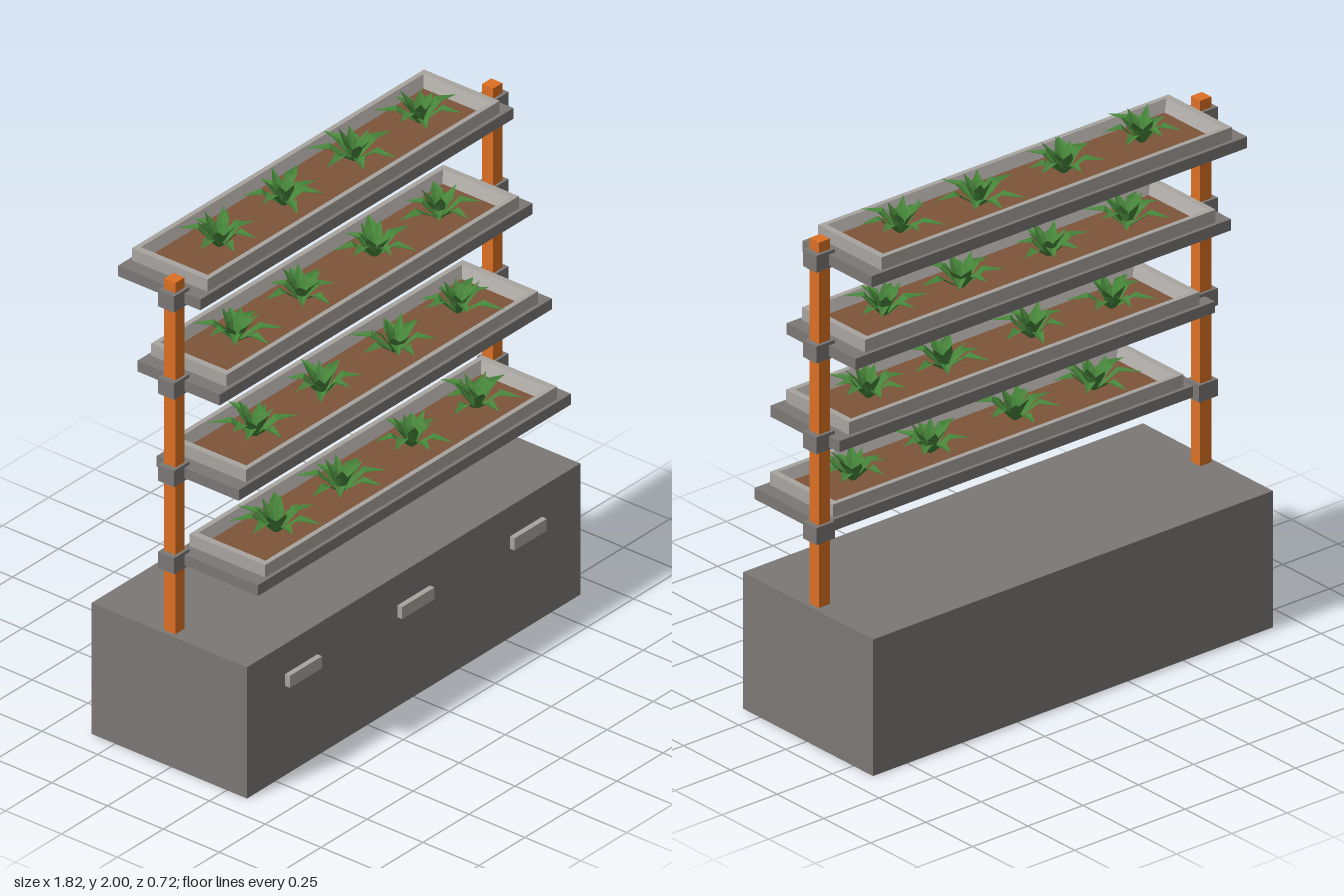
import * as THREE from 'three';

const mat = (color) => new THREE.MeshStandardMaterial({ color, flatShading: true, side: THREE.DoubleSide });
const stone = mat(0x7b7775), paleStone = mat(0xa8a4a0), orange = mat(0xdb7024);
const soilMat = mat(0x7d553a), green = mat(0x47853a);

function add(parent, name, geometry, material, x = 0, y = 0, z = 0) {
  const mesh = new THREE.Mesh(geometry, material);
  mesh.name = name;
  mesh.position.set(x, y, z);
  parent.add(mesh);
  return mesh;
}
const box = (w, h, d) => new THREE.BoxGeometry(w, h, d);

function seeded(seed) {
  return () => {
    seed = (seed * 16807) % 2147483647;
    return seed / 2147483647;
  };
}

function fromPoints(points) {
  const g = new THREE.BufferGeometry().setFromPoints(points);
  g.computeVertexNormals();
  return g;
}

// Rectangular rings [halfWidth, y, halfDepth] joined one after the other
function ringShell(rings) {
  const corners = [[-1, 1], [1, 1], [1, -1], [-1, -1]];
  const at = (i, j) => {
    const [w, y, d] = rings[i], [sx, sz] = corners[j % 4];
    return new THREE.Vector3(sx * w, y, sz * d);
  };
  const pts = [];
  for (let i = 0; i < rings.length - 1; i++) {
    for (let j = 0; j < 4; j++) {
      const a = at(i, j), b = at(i, j + 1), c = at(i + 1, j + 1), d = at(i + 1, j);
      pts.push(a, b, c, a, c, d);
    }
  }
  return fromPoints(pts);
}

// Pointed leaf creased along its middle; stations are [distance out, height, half width]
function leafPoints(angle, stations) {
  const out = new THREE.Vector3(Math.cos(angle), 0, Math.sin(angle));
  const side = new THREE.Vector3(-out.z, 0, out.x);
  const at = ([r, y, w], s) => out.clone().multiplyScalar(r)
    .addScaledVector(side, s * w).setY(y + Math.abs(s) * w * 0.35);
  const pts = [];
  for (let i = 0; i < stations.length - 1; i++) {
    for (const s of [-1, 1]) {
      const a = at(stations[i], 0), b = at(stations[i], s);
      const c = at(stations[i + 1], s), d = at(stations[i + 1], 0);
      if (s > 0) pts.push(a, b, c, a, c, d);
      else pts.push(a, c, b, a, d, c);
    }
  }
  return pts;
}

function plantGeometry(random) {
  const pts = [];
  const start = random() * Math.PI * 2;
  // arching outer leaves
  for (let i = 0; i < 7; i++) {
    const r = 0.115 + random() * 0.06;
    const h = 0.045 + random() * 0.025;
    const a = start + (i + (random() - 0.5) * 0.5) * Math.PI * 2 / 7;
    pts.push(...leafPoints(a, [[0.01, 0, 0.01], [r * 0.5, h, 0.022], [r, h * 0.95, 0]]));
  }
  // upright inner leaves
  for (let i = 0; i < 6; i++) {
    const r = 0.05 + random() * 0.04;
    const h = 0.095 + random() * 0.018;
    const a = start + (i + 0.5 + (random() - 0.5) * 0.4) * Math.PI * 2 / 6;
    pts.push(...leafPoints(a, [[0.006, 0, 0.01], [r * 0.5, h * 0.55, 0.02], [r, h, 0]]));
  }
  return fromPoints(pts);
}

export function createModel() {
  const model = new THREE.Group();
  model.name = 'tieredPlanter';

  // Base cabinet with three handles
  add(model, 'cabinet', box(1.81, 0.525, 0.695), stone, 0, 0.2625, -0.0075);
  for (const x of [-0.61, 0, 0.61]) {
    add(model, 'handle', box(0.175, 0.048, 0.022), paleStone, x, 0.381, 0.35);
  }

  // Side posts
  for (const s of [-1, 1]) {
    add(model, 'post', box(0.05, 1.405, 0.05), orange, s * 0.863, 1.2275, -0.02);
  }

  // Four stepped shelves, each with a trough of plants
  const random = seeded(4711);
  for (let i = 0; i < 4; i++) {
    const shelf = new THREE.Group();
    shelf.name = 'shelf';
    shelf.position.set(0, 0.787 + i * 0.349, 0.16 - i * 0.086);
    model.add(shelf);

    add(shelf, 'shelfBoard', box(1.7, 0.043, 0.368), stone, 0, 0.0215, 0);
    add(shelf, 'trough', ringShell([
      [0.793, 0.043, 0.169], [0.793, 0.092, 0.169],
      [0.768, 0.092, 0.15], [0.742, 0.052, 0.13],
    ]), paleStone);
    add(shelf, 'soil', box(1.484, 0.01, 0.26), soilMat, 0, 0.048, 0);

    for (const x of [-0.535, -0.175, 0.215, 0.56]) {
      add(shelf, 'plant', plantGeometry(random), green, x, 0.052, (random() - 0.5) * 0.02);
    }
    // clamps around the posts
    for (const s of [-1, 1]) {
      add(model, 'clamp', box(0.085, 0.065, 0.072), stone, s * 0.866, 0.81 + i * 0.349, -0.02);
    }
  }
  return model;
}
